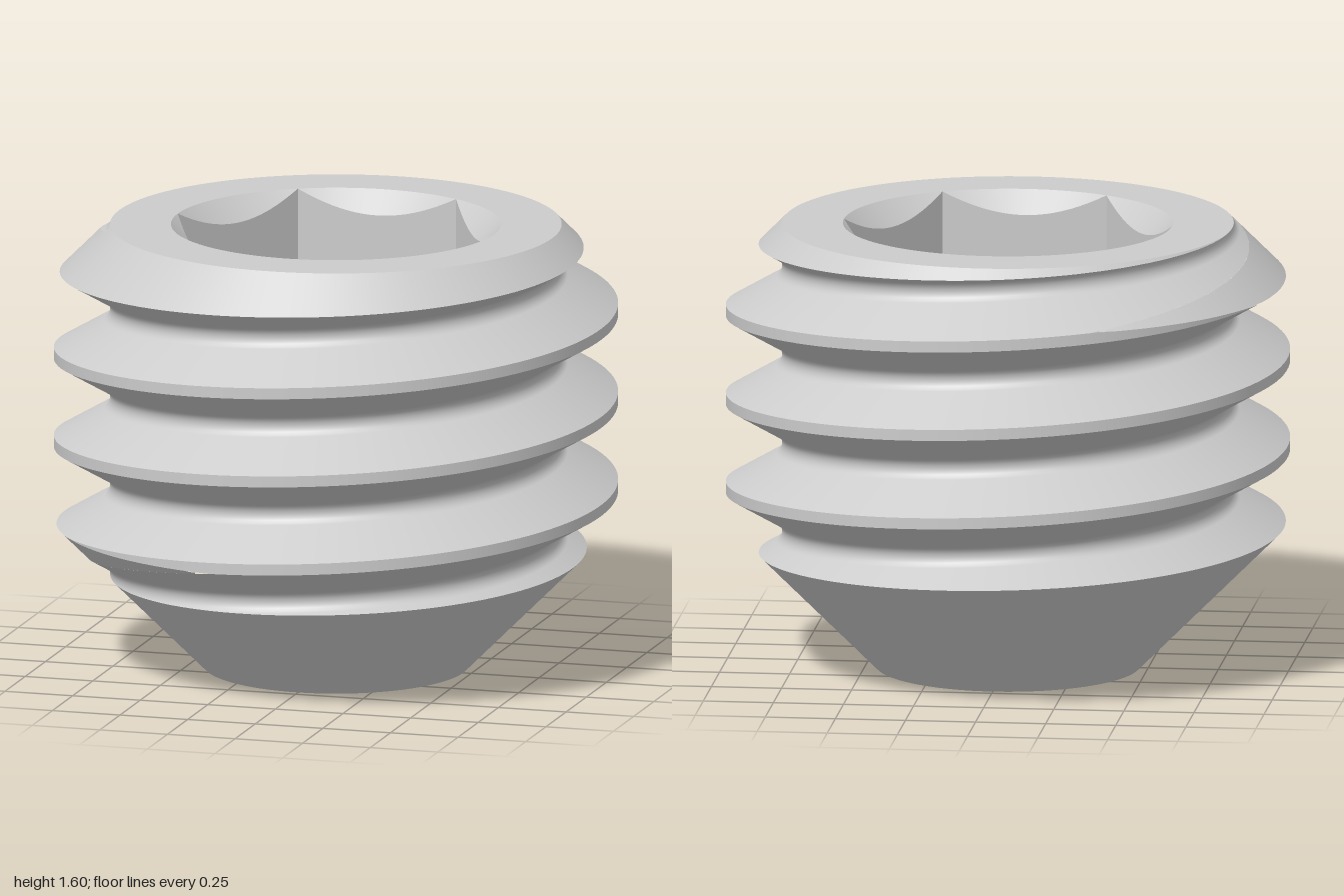
import * as THREE from 'three';
import { toCreasedNormals } from 'three/addons/utils/BufferGeometryUtils.js';

const SIDES = 120, TOP = 1.6, PITCH = 0.32, CREST_Y = 1.279;
const TIP_R = 0.47, FACE_R = 0.8, HEX_R = 0.585, SOCKET_Y = 0.8, CUP_Y = 0.27;
const S = Math.SQRT1_2;
const material = new THREE.MeshStandardMaterial({ color: 0xcccccc });

// Half a thread groove, from crest centre to root centre: [height, radius, normal angle]
const ROOT = 0.0425, SIXTY = Math.PI / 3;
const halfProfile = [[0, 1, 0], [0.02, 1, 0], [0.02, 1, SIXTY]];
for (let i = 4; i >= 0; i--) {
  const t = SIXTY * i / 4;
  halfProfile.push([PITCH / 2 - ROOT * Math.sin(t), FACE_R + ROOT * (1 - Math.cos(t)), t]);
}
const profile = [
  ...halfProfile.slice().reverse().map(([h, r, t]) => [-h, r, -t]),
  ...halfProfile,
];

// Thread radius at a given angle and height
function threadRadius(angle, y) {
  let h = (y - CREST_Y) / PITCH - angle / (2 * Math.PI);
  h = Math.abs(h - Math.round(h)) * PITCH;
  for (let i = 1; i < halfProfile.length; i++) {
    const [h0, r0] = halfProfile[i - 1], [h1, r1] = halfProfile[i];
    if (h <= h1 && h1 > h0) return r0 + (r1 - r0) * (h - h0) / (h1 - h0);
  }
  return FACE_R;
}

// A vertex is [x, y, z, nx, ny, nz]; the normal leans by (nr, ny)
function vertex(angle, r, y, nr = 1, ny = 0) {
  const c = Math.cos(angle), s = -Math.sin(angle);
  return [r * c, y, r * s, nr * c, ny, nr * s];
}

// Triangles of a band around the axis, rows running upwards
function band(rows, at) {
  const tris = [];
  for (let j = 0; j < rows; j++) {
    for (let i = 0; i < SIDES; i++) {
      const a0 = i / SIDES * 2 * Math.PI, a1 = (i + 1) / SIDES * 2 * Math.PI;
      const a = at(a0, j), b = at(a1, j), c = at(a1, j + 1), d = at(a0, j + 1);
      tris.push([a, b, c], [a, c, d]);
    }
  }
  return tris;
}

// Keep the part of the triangles where field(vertex) >= 0
function clip(tris, field) {
  const out = [];
  for (const tri of tris) {
    const f = tri.map(field), poly = [];
    for (let i = 0; i < 3; i++) {
      const j = (i + 1) % 3;
      if (f[i] >= 0) poly.push(tri[i]);
      if ((f[i] >= 0) !== (f[j] >= 0)) {
        const t = f[i] / (f[i] - f[j]);
        poly.push(tri[i].map((v, k) => v + (tri[j][k] - v) * t));
      }
    }
    for (let i = 2; i < poly.length; i++) out.push([poly[0], poly[i - 1], poly[i]]);
  }
  return out;
}

function toGeometry(tris) {
  const verts = tris.flat();
  const g = new THREE.BufferGeometry();
  g.setAttribute('position', new THREE.Float32BufferAttribute(verts.flatMap((v) => v.slice(0, 3)), 3));
  g.setAttribute('normal', new THREE.Float32BufferAttribute(verts.flatMap((v) => v.slice(3)), 3));
  return g;
}

const radius = (v) => Math.hypot(v[0], v[2]);
const tipRadius = (y) => TIP_R + y;
const chamferRadius = (y) => FACE_R + TOP - y;

export function createModel() {
  const group = new THREE.Group();
  const add = (name, geometry) => {
    const mesh = new THREE.Mesh(geometry, material);
    mesh.name = name;
    group.add(mesh);
    return mesh;
  };

  // Helical thread, trimmed by the tip cone and the top chamfer
  let thread = [];
  for (let turn = -6; turn <= 2; turn++) {
    thread.push(...band(profile.length - 1, (a, j) => {
      const [h, r, t] = profile[j];
      const y = CREST_Y + h + PITCH * (turn + a / (2 * Math.PI));
      return vertex(a, r, y, Math.cos(t), Math.sin(t));
    }));
  }
  thread = clip(thread, (v) => tipRadius(v[1]) - radius(v));
  thread = clip(thread, (v) => chamferRadius(v[1]) - radius(v));
  add('thread', toGeometry(thread));

  // Tip cone and top chamfer, kept only where they lie inside the thread
  const insideThread = (v) => threadRadius(Math.atan2(-v[2], v[0]), v[1]) - radius(v) + 1e-6;
  const tip = band(60, (a, j) => {
    const y = 0.54 * j / 60;
    return vertex(a, tipRadius(y), y, S, -S);
  });
  add('tipCone', toGeometry(clip(tip, insideThread)));
  const chamfer = band(30, (a, j) => {
    const y = TOP - 0.21 * (1 - j / 30);
    return vertex(a, chamferRadius(y), y, S, S);
  });
  add('topChamfer', toGeometry(clip(chamfer, insideThread)));

  // Conical cup in the tip
  const cupLen = Math.hypot(TIP_R, CUP_Y);
  add('tipCup', toGeometry(band(1, (a, j) =>
    vertex(-a, j ? 0 : TIP_R, j ? CUP_Y : 0, -CUP_Y / cupLen, -TIP_R / cupLen))));

  // Flat top ring
  const face = add('topFace', new THREE.RingGeometry(HEX_R, FACE_R, SIDES));
  face.rotation.x = -Math.PI / 2;
  face.position.y = TOP;

  // Hexagon socket: countersink, walls and floor
  const hexRadius = (a) => {
    const sector = Math.PI / 3;
    const off = ((a % sector) + sector) % sector - sector / 2;
    return HEX_R * Math.cos(sector / 2) / Math.cos(off);
  };
  const sinkY = (a) => TOP - (HEX_R - hexRadius(a));
  add('socketCountersink', toGeometry(band(1, (a, j) => j
    ? vertex(-a, HEX_R, TOP, -S, S)
    : vertex(-a, hexRadius(-a), sinkY(-a), -S, S))));
  add('socketWalls', toCreasedNormals(toGeometry(band(1, (a, j) =>
    vertex(-a, hexRadius(-a), j ? sinkY(-a) : SOCKET_Y, -1, 0))), 0.5));
  const floor = add('socketFloor', new THREE.CircleGeometry(HEX_R, 6));
  floor.rotation.x = -Math.PI / 2;
  floor.position.y = SOCKET_Y;

  return group;
}
